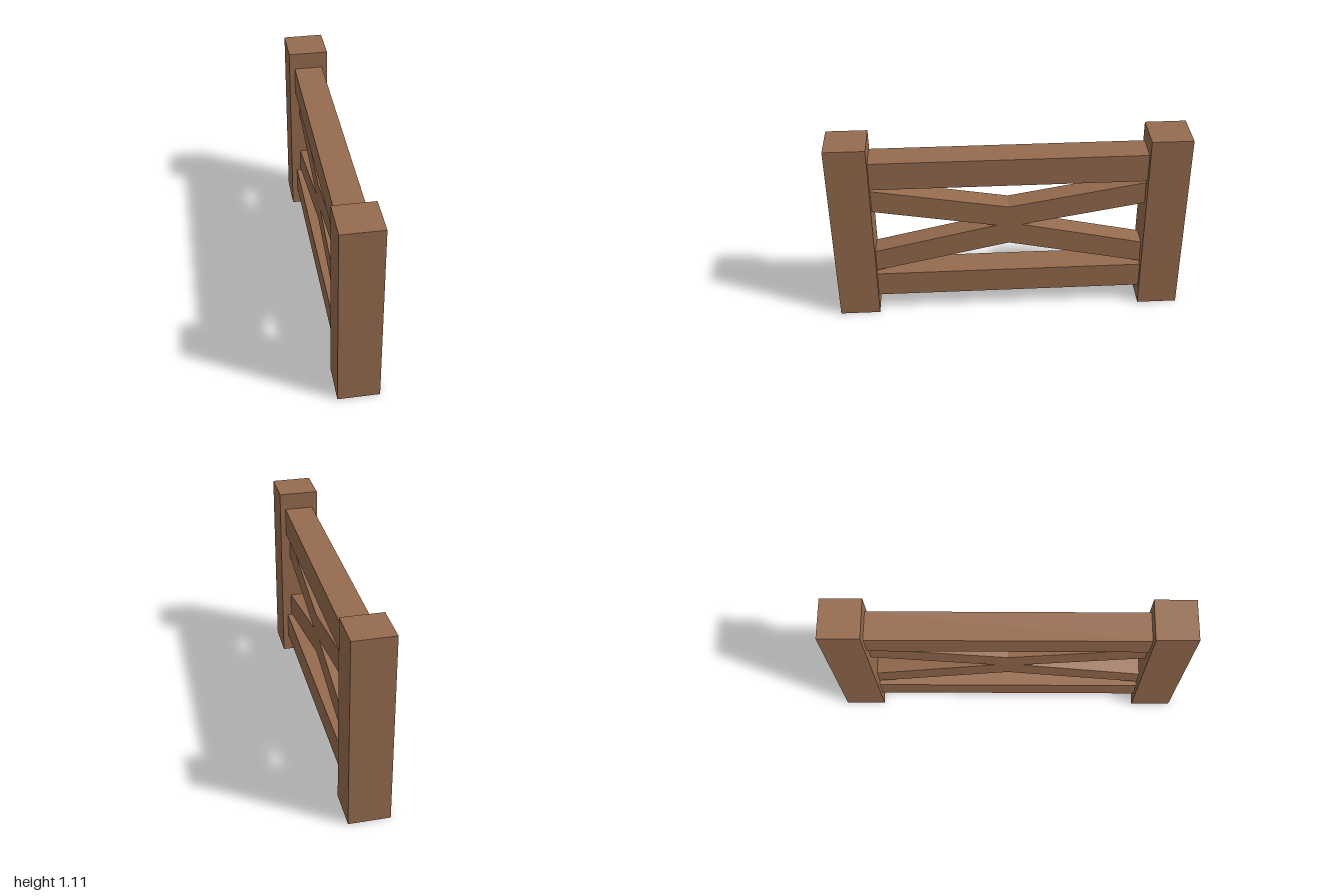
import * as THREE from 'three';

export function createModel() {
  const group = new THREE.Group();
  const wood = new THREE.MeshStandardMaterial({ color: 0x966b4e, side: THREE.DoubleSide });
  wood.name = 'brown wood';

  const add = (name, geometry, x = 0, y = 0, z = 0) => {
    const mesh = new THREE.Mesh(geometry, wood);
    mesh.name = name;
    mesh.position.set(x, y, z);
    group.add(mesh);
  };

  // End posts: hollow boxes, open at the bottom
  const postHeight = 1.106;
  for (const side of [1, -1]) {
    const post = new THREE.BoxGeometry(0.23, postHeight, 0.23);
    const index = Array.from(post.index.array);
    index.splice(18, 6); // drop the bottom face
    post.setIndex(index);
    post.clearGroups();
    add(side > 0 ? 'frontPost' : 'backPost', post, 0, postHeight / 2, side * 0.885);
  }

  // Horizontal rails, their ends let into the posts
  const railEnd = 0.82;
  const addRail = (name, bottom, top) =>
    add(name, new THREE.BoxGeometry(0.166, top - bottom, railEnd * 2), 0, (bottom + top) / 2, 0);
  addRail('topRail', 0.84, 1.006);
  addRail('bottomRail', 0.108, 0.26);

  // Cross brace: one X outline, half of it mirrored about the middle
  const half = [
    [0, 0.682],
    [railEnd, 0.824], [railEnd, 0.689],
    [0.072, 0.56],
    [railEnd, 0.394], [railEnd, 0.26],
    [0, 0.436],
  ];
  const mirrored = half.slice(1, -1).reverse().map(([z, y]) => [-z, y]);
  const outline = [...half, ...mirrored].map(([z, y]) => new THREE.Vector2(z, y));
  const braceWidth = 0.12;
  const brace = new THREE.ExtrudeGeometry(new THREE.Shape(outline), {
    depth: braceWidth, bevelEnabled: false,
  });
  brace.translate(0, 0, -braceWidth / 2).rotateY(-Math.PI / 2);
  add('crossBrace', brace);

  return group;
}
